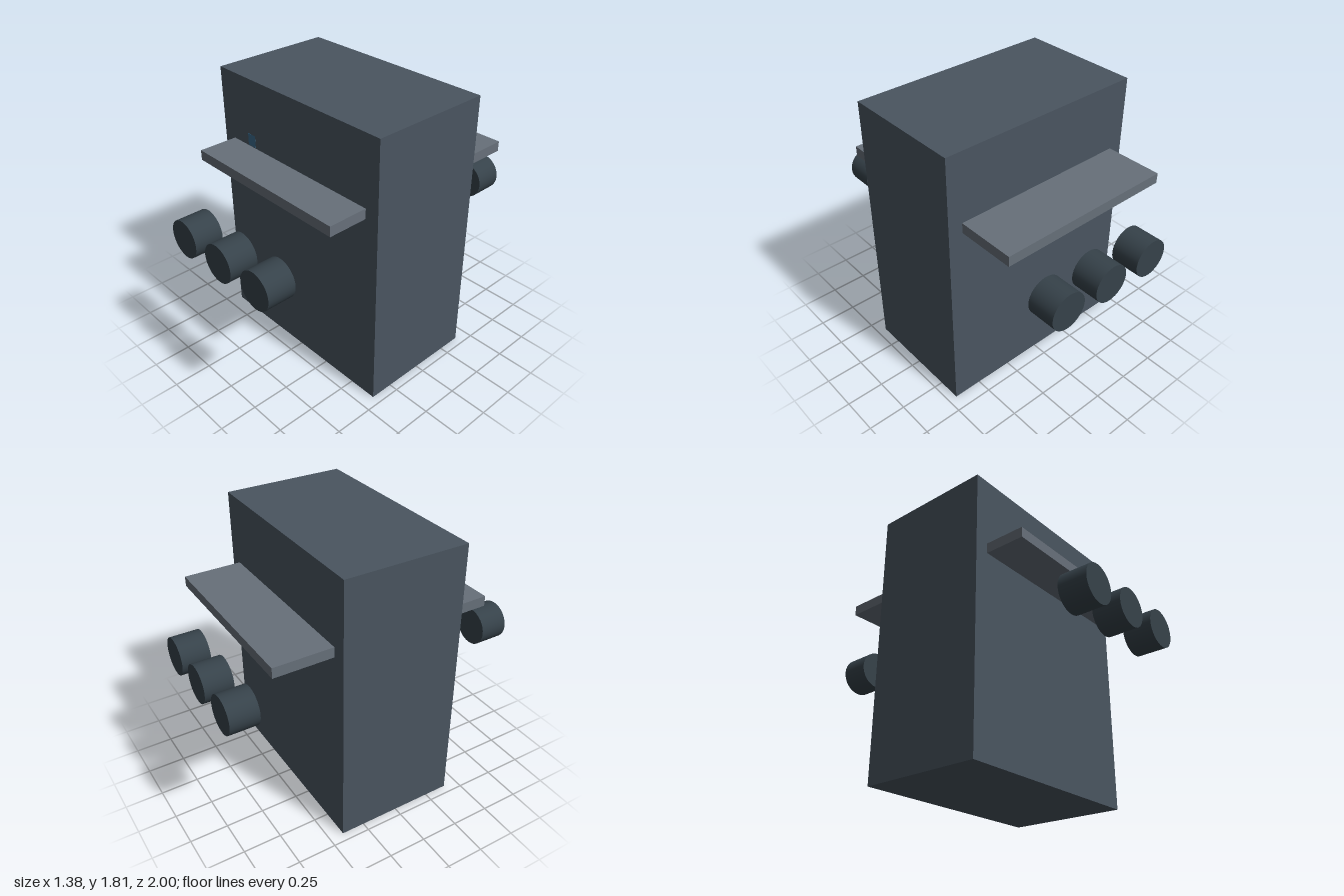
import * as THREE from 'three';

const paint = (color) => new THREE.MeshStandardMaterial({ color });

export function createModel() {
  const group = new THREE.Group();
  const bodyMat = paint(0x4a5560);
  const shelfMat = paint(0x67707a);
  const stoolMat = paint(0x36424a);

  const box = (name, w, h, d, x, y, z, mat) => {
    const mesh = new THREE.Mesh(new THREE.BoxGeometry(w, h, d), mat);
    mesh.name = name;
    mesh.position.set(x, y, z);
    group.add(mesh);
  };

  // Main block
  box('body', 1.385, 1.81, 0.808, 0, 0.905, 0, bodyMat);

  // Shelves: the back one is deeper
  box('frontShelf', 1.195, 0.067, 0.262, 0, 1.322, 0.535, shelfMat);
  box('backShelf', 1.195, 0.067, 0.382, 0, 1.322, -0.595, shelfMat);

  // Small marker, practically flush with the front face
  box('frontMarker', 0.07, 0.08, 0.01, -0.415, 1.4, 0.4, paint(0x3a6a8a));

  // Three free-standing drums on each side, axes along z
  const drum = new THREE.CylinderGeometry(0.125, 0.125, 0.19, 32).rotateX(Math.PI / 2);
  for (const side of [1, -1]) {
    for (const i of [-1, 0, 1]) {
      const mesh = new THREE.Mesh(drum, stoolMat);
      mesh.name = side > 0 ? 'frontDrum' : 'backDrum';
      mesh.position.set(i * 0.345, 0.965, side * 0.905);
      group.add(mesh);
    }
  }
  return group;
}
